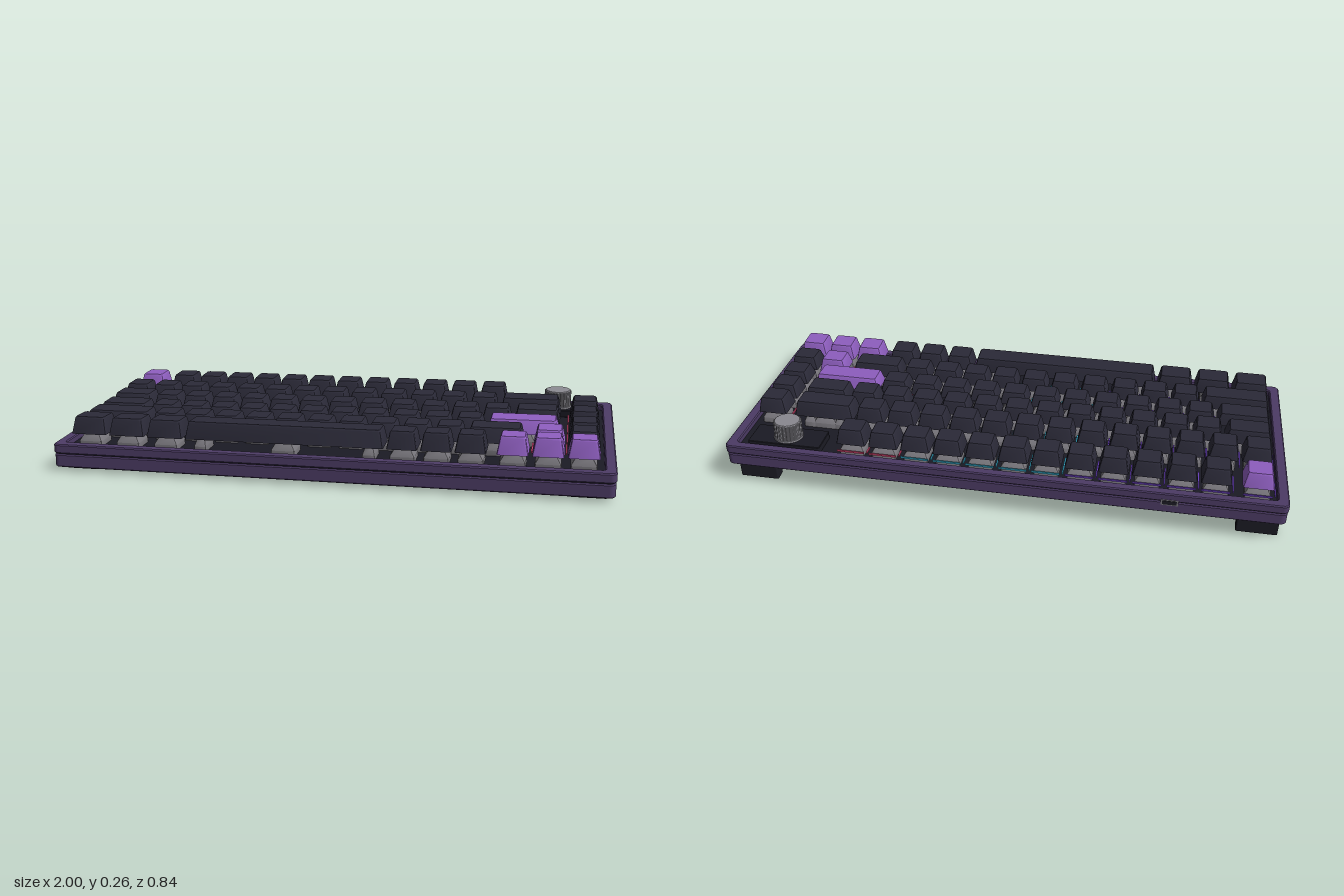
import * as THREE from 'three';
import { toCreasedNormals } from 'three/addons/utils/BufferGeometryUtils.js';

const SLOPE = 0.102;               // rise of the case from front to back
const U = 0.1175, X0 = -0.952;     // key pitch and left edge of the key field

function material(name, color) {
  const m = new THREE.MeshStandardMaterial({ color });
  m.name = name;
  return m;
}

function roundedRect(w, d, r, T = THREE.Shape) {
  const s = new T(), x = w / 2, y = d / 2;
  s.moveTo(-x + r, -y);
  s.lineTo(x - r, -y); s.absarc(x - r, -y + r, r, -Math.PI / 2, 0);
  s.lineTo(x, y - r); s.absarc(x - r, y - r, r, 0, Math.PI / 2);
  s.lineTo(-x + r, y); s.absarc(-x + r, y - r, r, Math.PI / 2, Math.PI);
  s.lineTo(-x, -y + r); s.absarc(-x + r, -y + r, r, Math.PI, Math.PI * 1.5);
  return s;
}

// Horizontal slab from y0 to y1 with a small bevel
function slab(shape, y0, y1, bevel = 0.004) {
  const g = new THREE.ExtrudeGeometry(shape, {
    depth: y1 - y0 - 2 * bevel, bevelEnabled: bevel > 0, bevelThickness: bevel,
    bevelSize: bevel, bevelOffset: -bevel, bevelSegments: 1, curveSegments: 5,
  });
  return g.rotateX(-Math.PI / 2).translate(0, y0 + bevel, 0);
}

// Closed loft through rounded rectangles: rings of { w, d, y, z, tilt }
function loft(rings, r = 0.008) {
  const pos = [], loops = rings.map(({ w, d, y, z = 0, tilt = 0 }) => {
    const pts = [];
    for (let c = 0; c < 4; c++) for (let k = 0; k < 3; k++) {
      const a = (c + k / 2) * Math.PI / 2;
      const sx = c === 0 || c === 3 ? 1 : -1, sz = c < 2 ? 1 : -1;
      const pz = sz * (d / 2 - r) + r * Math.sin(a);
      pts.push([sx * (w / 2 - r) + r * Math.cos(a), y + pz * tilt, pz + z]);
    }
    return pts;
  });
  const tri = (...p) => p.forEach((q) => pos.push(...q));
  const n = 12, lo = loops[0], hi = loops[loops.length - 1];
  for (let i = 0; i < n; i++) {
    const j = (i + 1) % n;
    for (let k = 0; k + 1 < loops.length; k++) {
      const a = loops[k], b = loops[k + 1];
      tri(a[i], b[i], a[j]);
      tri(a[j], b[i], b[j]);
    }
    if (i > 0 && i < n - 1) {
      tri(hi[0], hi[j], hi[i]);
      tri(lo[0], lo[i], lo[j]);
    }
  }
  const g = new THREE.BufferGeometry();
  g.setAttribute('position', new THREE.Float32BufferAttribute(pos, 3));
  return toCreasedNormals(g, 0.6);
}

export function createModel() {
  const M = {
    shell: material('case purple', 0x4d3c66),
    key: material('key charcoal', 0x2b2a38),
    accent: material('accent purple', 0x8f5fc0),
    dark: material('plate black', 0x1b1b24),
    housing: material('switch grey', 0x78767c),
    stem: material('stem pink', 0xd0446e),
    metal: material('knob metal', 0x8c8b92),
    violet: material('violet glow', 0x6a40c0),
    cyan: material('cyan glow', 0x32a4c4),
  };
  const root = new THREE.Group();
  root.name = 'keyboard';
  const add = (parent, name, geo, mat, x = 0, y = 0, z = 0) => {
    const m = new THREE.Mesh(geo, mat);
    m.name = name;
    m.position.set(x, y, z);
    parent.add(m);
    return m;
  };

  // Case: sheared slabs, so its walls stay upright
  const shear = new THREE.Matrix4().makeShear(0, 0, 0, 0, 0, -SLOPE);
  const addCase = (name, geo, mat) => add(root, name, geo.applyMatrix4(shear), mat);
  const frame = roundedRect(2, 0.836, 0.022);
  frame.holes.push(roundedRect(1.924, 0.764, 0.012, THREE.Path));
  addCase('lowerCase', slab(roundedRect(1.996, 0.831, 0.022), 0.057, 0.105), M.shell);
  addCase('caseSeam', slab(roundedRect(1.986, 0.822, 0.02), 0.104, 0.109, 0), M.dark);
  addCase('upperFrame', slab(frame, 0.108, 0.142), M.shell);
  addCase('switchPlate', new THREE.BoxGeometry(1.94, 0.012, 0.78).translate(0, 0.114, 0), M.dark);
  addCase('bottomPanel', new THREE.BoxGeometry(1.84, 0.006, 0.61).translate(0, 0.0565, 0), M.dark);

  // Port on the back wall
  const portY = 0.105 + 0.416 * SLOPE;
  add(root, 'portFrame', new THREE.BoxGeometry(0.06, 0.024, 0.006), M.housing, -0.6, portY, -0.416);
  add(root, 'portOpening', new THREE.BoxGeometry(0.05, 0.016, 0.006), M.dark, -0.6, portY, -0.4175);

  // Feet: low in front, tall at the back
  for (const s of [-1, 1]) {
    add(root, 'frontFoot', slab(roundedRect(0.145, 0.048, 0.022), 0, 0.03, 0.002), M.dark, s * 0.912, 0, 0.339);
    add(root, 'backFoot', slab(roundedRect(0.145, 0.048, 0.006), 0, 0.1, 0.002), M.dark, s * 0.912, 0, -0.336);
  }

  // Everything above the plate is tilted as one
  const deck = new THREE.Group();
  deck.name = 'keyDeck';
  deck.rotation.x = Math.atan(SLOPE);
  root.add(deck);

  const housing = loft([
    { w: 0.088, d: 0.088, y: 0.118 }, { w: 0.088, d: 0.088, y: 0.139 },
    { w: 0.06, d: 0.06, y: 0.162 }], 0.005);
  const stem = new THREE.BoxGeometry(0.024, 0.016, 0.024).translate(0, 0.166, 0);
  const sideGlow = new THREE.BoxGeometry(0.005, 0.006, 0.1);
  const backGlow = new THREE.BoxGeometry(0.1, 0.006, 0.005);
  const glowColor = (x) => (x < -0.24 ? M.violet : x < 0.36 ? M.cyan : M.stem);

  const cache = {};
  const keyGeometry = (units, h, tilt) => cache[[units, h, tilt]] ??= (() => {
    const w = units * U - 0.0105, d = 0.107;
    return loft([
      { w, d, y: 0 },
      { w: w - 0.021, d: d - 0.021, y: h - 0.005, z: -0.006, tilt },
      { w: w - 0.028, d: d - 0.028, y: h, z: -0.007, tilt }]);
  })();

  function addKey(start, units, row, accent) {
    const x = X0 + (start + units / 2) * U;
    add(deck, accent ? 'accentKey' : 'key', keyGeometry(units, row.h, row.tilt),
      accent ? M.accent : M.key, x, 0.168, row.z);
    add(deck, 'switchHousing', housing, M.housing, x, 0, row.z);
    add(deck, 'switchStem', stem, M.stem, x, 0, row.z);
    // Stabiliser housings under wide keys
    if (units >= 2) for (const s of [-1, 1]) {
      const m = add(deck, 'stabiliser', housing, M.housing, x + s * (units / 2 - 0.5) * U, 0, row.z);
      m.scale.x = 0.5;
    }
    if (units === 1 && row.glow) {
      add(deck, 'sideGlow', sideGlow, glowColor(x), x - U / 2, 0.142, row.z);
    }
    if (row.back) add(deck, 'backGlow', backGlow, glowColor(x), x, 0.142, row.z - 0.056);
  }

  // Rows from back to front; each key is [start, width, accent] in key units
  const ones = (start, n) => Array.from({ length: n }, (_, i) => [start + i, 1]);
  const rows = [
    { z: -0.332, h: 0.059, tilt: 0, glow: true, back: true, keys: [[0, 1, true], ...ones(1.2, 12)] },
    { z: -0.172, h: 0.059, tilt: 0, glow: true, keys: [...ones(0, 13), [13, 2], [15.2, 1]] },
    { z: -0.054, h: 0.053, tilt: 0, glow: true, keys: [[0, 1.5], ...ones(1.5, 12), [13.5, 1.5], [15.2, 1]] },
    { z: 0.064, h: 0.048, tilt: 0, glow: true, keys: [[0, 1.75], ...ones(1.75, 11), [12.75, 2.25, true], [15.2, 1]] },
    { z: 0.181, h: 0.051, tilt: 0, glow: true, keys: [[0, 2.25], ...ones(2.25, 10), [12.25, 1.75], [14.2, 1, true], [15.2, 1]] },
    { z: 0.299, h: 0.059, tilt: 0.05, keys: [[0, 1.25], [1.25, 1.25], [2.5, 1.25], [3.75, 6.25], ...ones(10, 3),
      [13.2, 1, true], [14.2, 1, true], [15.2, 1, true]] },
  ];
  for (const row of rows) for (const [start, units, accent] of row.keys) addKey(start, units, row, accent);

  // Knob with a fluted body on its own small plate
  const flutes = new THREE.Shape();
  for (let i = 0; i < 96; i++) {
    const a = (i / 96) * Math.PI * 2, r = i % 4 < 2 ? 0.051 : 0.048;
    flutes[i ? 'lineTo' : 'moveTo'](r * Math.cos(a), r * Math.sin(a));
  }
  const kx = 0.79, kz = -0.335;
  add(deck, 'knobPlate', slab(roundedRect(0.268, 0.118, 0.006), 0.118, 0.147, 0.002), M.dark, kx, 0, kz);
  add(deck, 'knobCollar', new THREE.CylinderGeometry(0.053, 0.053, 0.008, 40), M.metal, kx, 0.15, kz);
  add(deck, 'knobBody', slab(flutes, 0.153, 0.212, 0.001), M.metal, kx, 0, kz);
  add(deck, 'knobCap', new THREE.CylinderGeometry(0.045, 0.048, 0.004, 40), M.metal, kx, 0.213, kz);

  return root;
}
